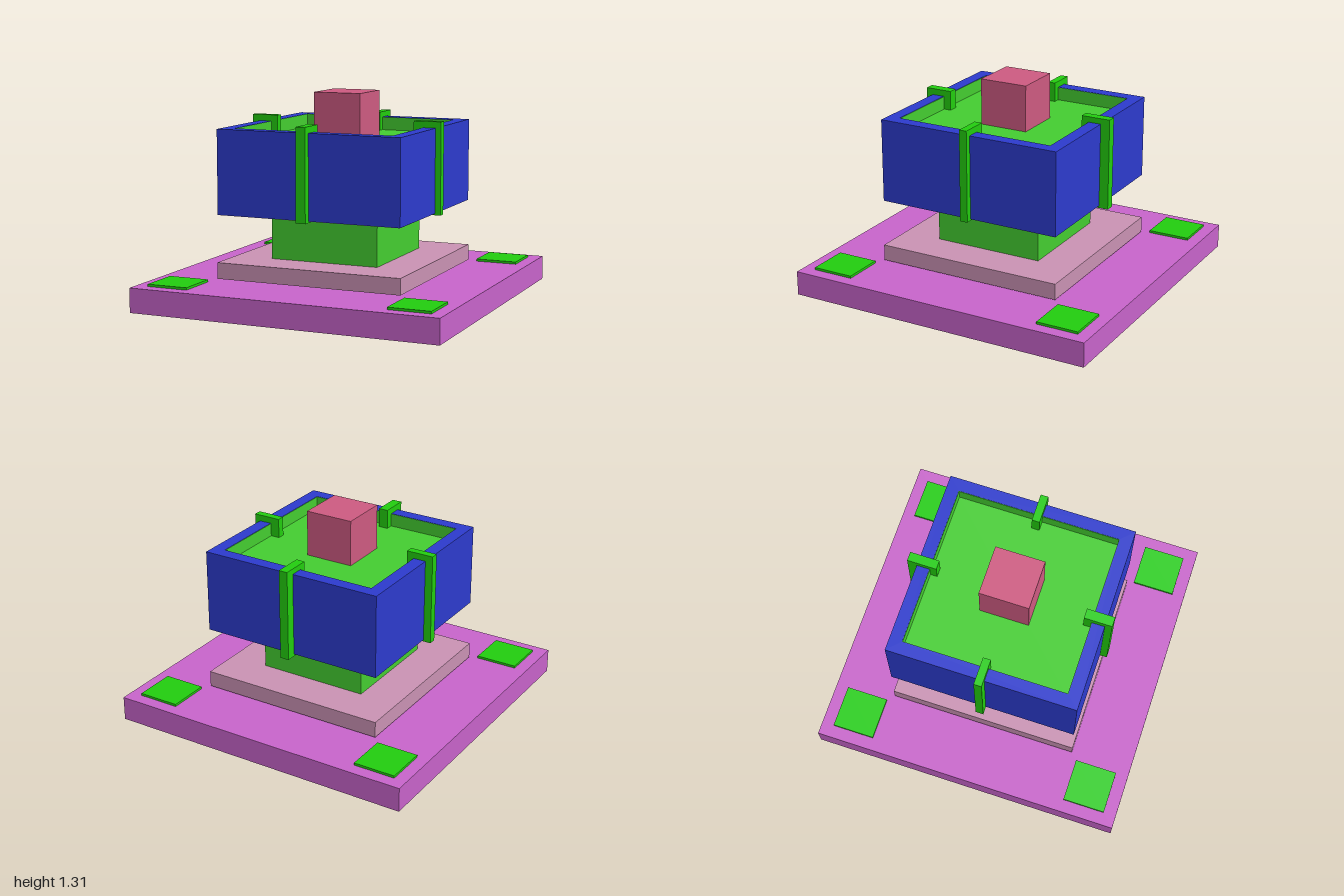
import * as THREE from 'three';

const material = (color) => new THREE.MeshStandardMaterial({ color, flatShading: true });
const purple = material(0xc663c9);
const pink = material(0xc891b2);
const green = material(0x44cc30);
const brightGreen = material(0x22cc0e);
const blue = material(0x2c3acc);
const red = material(0xcc5a80);

// Box given by its lower and upper corners
function box(name, mat, [x0, y0, z0], [x1, y1, z1]) {
  const mesh = new THREE.Mesh(new THREE.BoxGeometry(x1 - x0, y1 - y0, z1 - z0), mat);
  mesh.position.set((x0 + x1) / 2, (y0 + y1) / 2, (z0 + z1) / 2);
  mesh.name = name;
  return mesh;
}

// Square block centred on the vertical axis
const block = (name, mat, half, y0, y1) => box(name, mat, [-half, y0, -half], [half, y1, half]);

// Square frame with a square hole, standing from y0 to y1
function frame(name, mat, outer, inner, y0, y1) {
  const square = (path, h) => path.moveTo(-h, -h).lineTo(h, -h).lineTo(h, h).lineTo(-h, h).closePath();
  const shape = square(new THREE.Shape(), outer);
  shape.holes.push(square(new THREE.Path(), inner));
  const geometry = new THREE.ExtrudeGeometry(shape, { depth: y1 - y0, bevelEnabled: false });
  geometry.rotateX(-Math.PI / 2).translate(0, y0, 0);
  const mesh = new THREE.Mesh(geometry, mat);
  mesh.name = name;
  return mesh;
}

export function createModel() {
  const model = new THREE.Group();
  model.name = 'model';

  // Base with a flat pad near each corner
  model.add(block('base', purple, 1, 0, 0.155));
  for (const x of [-0.785, 0.785]) {
    for (const z of [-0.785, 0.785]) {
      model.add(box('cornerPad', brightGreen, [x - 0.135, 0.15, z - 0.135], [x + 0.135, 0.17, z + 0.135]));
    }
  }

  // Slab hovering just above the base, and the stem on it
  model.add(block('slab', pink, 0.608, 0.17, 0.272));
  model.add(block('stem', green, 0.356, 0.272, 0.58));

  // Basin: underside plate, walls, inner lining and floor
  model.add(block('basinBottom', pink, 0.6, 0.568, 0.6));
  model.add(frame('basinWall', blue, 0.603, 0.522, 0.57, 1.1));
  model.add(frame('basinLining', green, 0.523, 0.519, 0.98, 1.098));
  model.add(block('basinFloor', green, 0.521, 0.96, 1.015));

  // Block in the middle of the basin
  model.add(block('centreBlock', red, 0.157, 0.995, 1.308));

  // Clips over the middle of each wall
  model.add(box('frontClip', brightGreen, [-0.05, 0.56, 0.47], [0.013, 1.14, 0.648]));
  model.add(box('backClip', brightGreen, [-0.03, 0.556, -0.663], [0.028, 1.135, -0.475]));
  model.add(box('rightClip', brightGreen, [-0.652, 0.56, -0.025], [-0.476, 1.14, 0.025]));
  model.add(box('leftClip', brightGreen, [0.46, 0.56, -0.025], [0.64, 1.14, 0.025]));

  return model;
}
